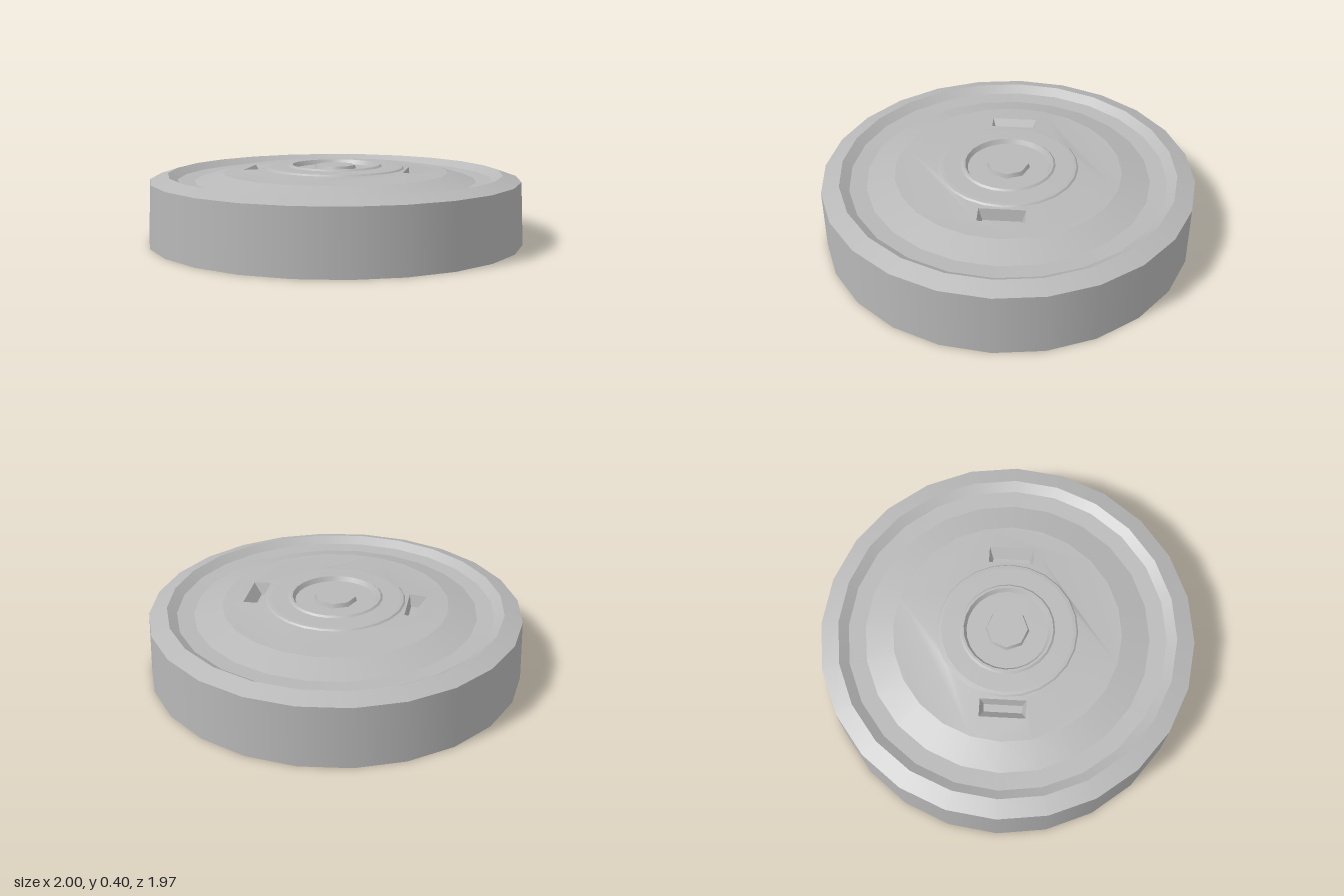
import * as THREE from 'three';

const SIDES = 24;
const metal = new THREE.MeshStandardMaterial({ color: 0xb8b8b8, side: THREE.DoubleSide });
metal.name = 'grey metal';

// Gently sloping centre panel: height for a given radius
const panelHeight = (r) => 0.366 + (0.6 - r) * 0.07;

function add(parent, name, geometry) {
  const mesh = new THREE.Mesh(geometry, metal);
  mesh.name = name;
  parent.add(mesh);
  return mesh;
}

// One conical band per profile step, so the edges between bands stay sharp
function addBands(parent, name, profile, sides = SIDES) {
  const group = new THREE.Group();
  group.name = name;
  for (let i = 0; i < profile.length - 1; i++) {
    const points = [profile[i], profile[i + 1]].map(([r, y]) => new THREE.Vector2(r, y));
    add(group, name + 'Band', new THREE.LatheGeometry(points, sides));
  }
  parent.add(group);
  return group;
}

function ring(radius, sides) {
  return Array.from({ length: sides }, (_, i) => {
    const a = (i / sides) * Math.PI * 2;
    return new THREE.Vector2(radius * Math.sin(a), radius * Math.cos(a));
  });
}

// Thin sheet with holes, lifted by a rule of the radius
function sheet(outline, holes, height) {
  const shape = new THREE.Shape(outline);
  holes.forEach((h) => shape.holes.push(new THREE.Path(h)));
  const geometry = new THREE.ShapeGeometry(shape).rotateX(-Math.PI / 2);
  const p = geometry.attributes.position;
  for (let i = 0; i < p.count; i++) p.setY(i, height(Math.hypot(p.getX(i), p.getZ(i))));
  geometry.computeVertexNormals();
  return geometry;
}

// Pressed dent: opening corners joined to a smaller sunken floor
const DENT = { x0: 0.382, x1: 0.475, z: 0.12 };
function dentGeometry() {
  const corners = (x0, x1, z) => [[x0, -z], [x1, -z], [x1, z], [x0, z]];
  const top = corners(DENT.x0, DENT.x1, DENT.z).map(([x, z]) => [x, panelHeight(Math.hypot(x, z)), z]);
  const low = corners(0.392, 0.432, 0.1).map(([x, z]) => [x, 0.315, z]);
  const quads = [[low[0], low[3], low[2], low[1]]];
  for (let i = 0; i < 4; i++) {
    const j = (i + 1) % 4;
    quads.push([top[i], low[i], low[j], top[j]]);
  }
  const positions = quads.flatMap(([a, b, c, d]) => [a, b, c, a, c, d].flat());
  const geometry = new THREE.BufferGeometry();
  geometry.setAttribute('position', new THREE.Float32BufferAttribute(positions, 3));
  geometry.computeVertexNormals();
  return geometry;
}

export function createModel() {
  const lid = new THREE.Group();
  lid.name = 'lid';

  // Skirt, open below and slightly wider across x at the bottom
  const skirt = new THREE.LatheGeometry([new THREE.Vector2(0.985, 0), new THREE.Vector2(0.985, 0.33)], SIDES);
  const p = skirt.attributes.position;
  for (let i = 0; i < p.count; i++) if (p.getY(i) < 0.1) p.setX(i, p.getX(i) / 0.985);
  skirt.computeBoundingSphere();
  add(lid, 'skirt', skirt);

  // Rim, channel and rise to the centre panel
  addBands(lid, 'rim', [[0.985, 0.33], [0.89, 0.361]]);
  addBands(lid, 'channel', [[0.89, 0.361], [0.84, 0.327], [0.75, 0.322], [0.6, panelHeight(0.6)]]);

  // Centre panel with two openings for the dents
  const slots = [1, -1].map((s) =>
    [[DENT.x0, -DENT.z], [DENT.x1, -DENT.z], [DENT.x1, DENT.z], [DENT.x0, DENT.z]]
      .map(([x, z]) => new THREE.Vector2(s * x, z)));
  add(lid, 'centrePanel', sheet(ring(0.6, SIDES), [ring(0.37, SIDES), ...slots], panelHeight));
  for (const [name, turn] of [['leftDent', 0], ['rightDent', Math.PI]]) {
    add(lid, name, dentGeometry()).rotation.y = turn;
  }

  // Raised ring and lip around the sunken centre
  addBands(lid, 'raisedRing', [[0.37, panelHeight(0.37)], [0.362, 0.39], [0.345, 0.392], [0.25, 0.393],
    [0.24, 0.402], [0.228, 0.402], [0.214, 0.378]]);
  add(lid, 'centreFloor', sheet(ring(0.214, SIDES), [ring(0.115, 8)], () => 0.378));

  // Eight-sided button
  addBands(lid, 'buttonSide', [[0.115, 0.378], [0.107, 0.4]], 8);
  add(lid, 'buttonTop', sheet(ring(0.107, 8), [], () => 0.4));
  return lid;
}
